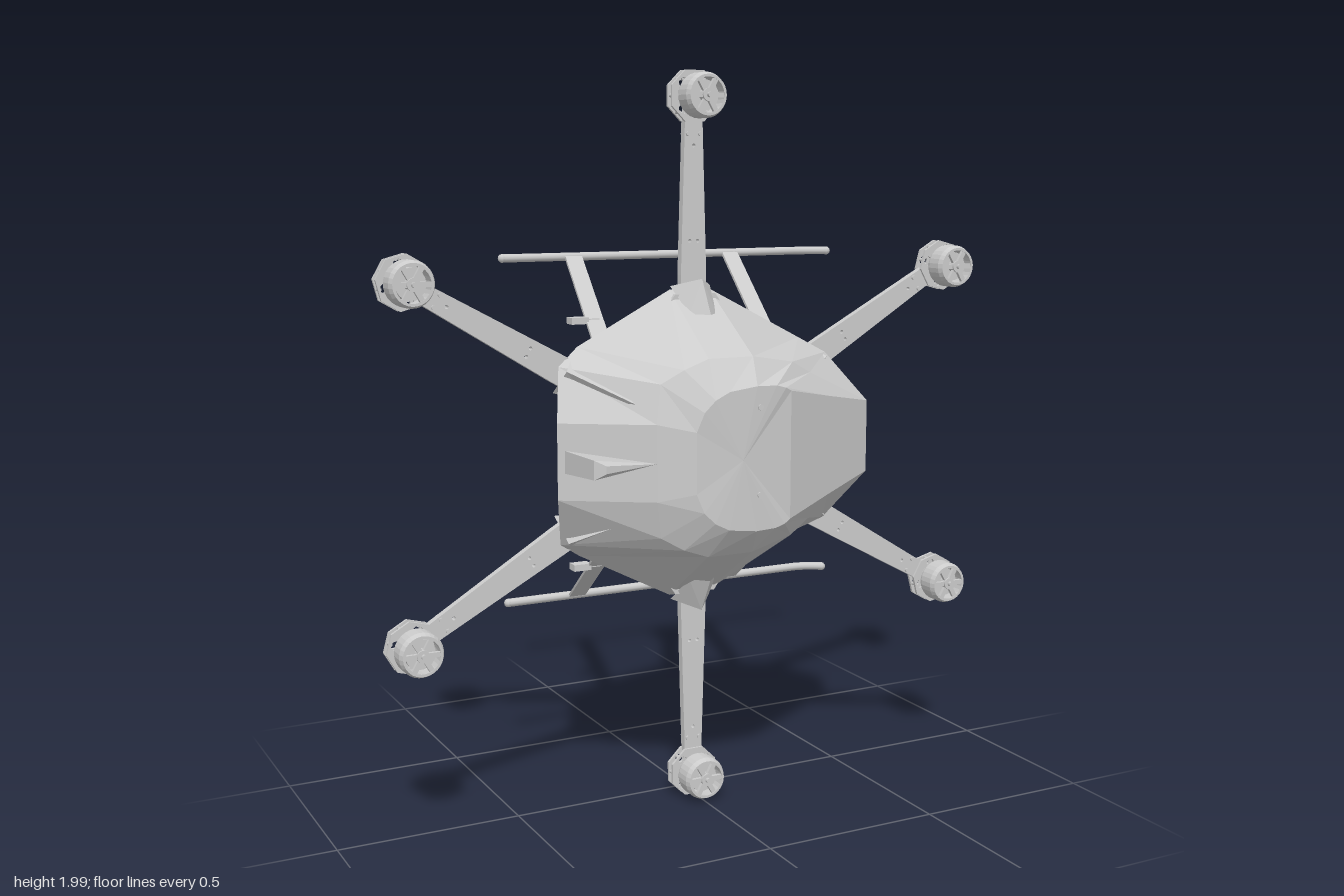
import * as THREE from 'three';

const mat = new THREE.MeshStandardMaterial({ color: 0xcccccc });
const flat = new THREE.MeshStandardMaterial({ color: 0xcccccc, flatShading: true, side: THREE.DoubleSide });
const V = (x, y, z) => new THREE.Vector3(x, y, z);

function add(parent, name, geo, pos = [0, 0, 0], material = mat) {
  const m = new THREE.Mesh(geo, material);
  m.name = name;
  m.position.set(...pos);
  parent.add(m);
  return m;
}
const box = (p, name, w, h, d, pos) => add(p, name, new THREE.BoxGeometry(w, h, d), pos);

// cylinder running along z from z0 to z1
function rod(p, name, r, x, y, z0, z1, sides = 12) {
  const g = new THREE.CylinderGeometry(r, r, Math.abs(z1 - z0), sides).rotateX(Math.PI / 2);
  return add(p, name, g, [x, y, (z0 + z1) / 2]);
}

// flat plate in the xy plane with rectangular and round cut-outs
function plate(p, name, pts, rects, circles, z, depth) {
  const s = new THREE.Shape(pts.map(([x, y]) => new THREE.Vector2(x, y)));
  for (const [x, y, w, h] of rects) {
    s.holes.push(new THREE.Path([[-1, -1], [-1, 1], [1, 1], [1, -1]]
      .map(([a, b]) => new THREE.Vector2(x + a * w / 2, y + b * h / 2))));
  }
  for (const [x, y, r] of circles) s.holes.push(new THREE.Path().absarc(x, y, r, 0, Math.PI * 2, true));
  const g = new THREE.ExtrudeGeometry(s, { depth, bevelEnabled: false, curveSegments: 6 });
  return add(p, name, g, [0, 0, z]);
}

// thin bar between two points, its width lying mostly along x
function bar(p, name, a, b, width, thick) {
  const d = b.clone().sub(a), len = d.length();
  d.normalize();
  const t = V(1, 0, 0).cross(d).normalize(), w = d.clone().cross(t);
  const m = box(p, name, width, len, thick, a.clone().add(b).multiplyScalar(0.5).toArray());
  m.quaternion.setFromRotationMatrix(new THREE.Matrix4().makeBasis(w, d, t));
  return m;
}

function polyhedron(points, index) {
  const g = new THREE.BufferGeometry();
  g.setAttribute('position', new THREE.Float32BufferAttribute(points.flat(), 3));
  g.setIndex(index);
  const out = g.toNonIndexed();
  out.computeVertexNormals();
  return out;
}

// faceted canopy: three mirrored rings, closed by a plateau
function canopyGeometry() {
  const rings = [
    [[.5, .1, .155], [.4, .235, .09], [.34, .275, .045], [.06, .42, .04], [-.06, .42, .04], [-.33, .28, .04], [-.4, .235, .08], [-.435, .1, .15]],
    [[.32, .135, .245], [.27, .2, .225], [.2, .235, .25], [.06, .26, .285], [-.07, .26, .285], [-.14, .235, .285], [-.2, .2, .27], [-.22, .1, .29]],
    [[.15, .17, .33], [.13, .18, .337], [.1, .188, .341], [.04, .19, .345], [-.04, .18, .345], [-.08, .16, .343], [-.11, .13, .34], [-.13, .08, .335]],
  ].map(r => [...r, ...r.slice().reverse().map(([x, y, z]) => [x, -y, z])]);
  const n = rings[0].length, idx = [];
  for (let k = 0; k < 2; k++) for (let i = 0; i < n; i++) {
    const a = k * n + i, b = k * n + (i + 1) % n;
    idx.push(a, b, b + n, a, b + n, a + n);
  }
  for (let i = 0; i < n; i++) idx.push(2 * n + i, 2 * n + (i + 1) % n, 3 * n);
  return polyhedron([...rings.flat(), [0, 0, .345]], idx);
}

// motor with slotted bell on an octagonal mount
function motor(p, r) {
  const g = new THREE.Group();
  g.name = 'motor';
  g.position.y = r;
  p.add(g);
  const ring = (R, n, off = 0) => Array.from({ length: n }, (_, i) => {
    const a = (i + off) / n * Math.PI * 2;
    return [R * Math.cos(a), R * Math.sin(a)];
  });
  const mountHoles = ring(.048, 4, .5).map(([x, y]) => [x, y, .013]);
  plate(g, 'motorMountBack', ring(.072, 8, .5), [], [...mountHoles, [0, 0, .013]], .04, .008);
  plate(g, 'motorMountFront', ring(.072, 8, .5), [], mountHoles, .064, .008);
  for (const [x, y] of ring(.06, 8)) rod(g, 'mountSpacer', .005, x, y, .045, .066, 6);
  rod(g, 'motorBase', .046, 0, 0, .07, .09, 24);
  const profile = [[.05, .088], [.057, .088], [.059, .094], [.059, .136], [.053, .15], [.046, .15], [.05, .088]];
  const bell = new THREE.LatheGeometry(profile.map(([x, y]) => new THREE.Vector2(x, y)), 28).rotateX(Math.PI / 2);
  const creased = bell.toNonIndexed();
  creased.computeVertexNormals();
  add(g, 'motorBell', creased, [0, 0, 0], flat);
  rod(g, 'motorStator', .04, 0, 0, .085, .128, 20);
  for (let i = 0; i < 6; i++) {
    const a = i * Math.PI / 3;
    box(g, 'bellSpoke', .044, .013, .01, [.027 * Math.cos(a), .027 * Math.sin(a), .143]).rotation.z = a;
  }
  rod(g, 'motorHub', .017, 0, 0, .125, .153, 16);
  rod(g, 'motorShaft', .007, 0, 0, .15, .162, 10);
}

export function createModel() {
  const root = new THREE.Group();
  root.name = 'hexacopter';
  const craft = new THREE.Group();
  craft.name = 'airframe';
  craft.position.y = 1;
  root.add(craft);

  // canopy and its tail fin
  add(craft, 'canopy', canopyGeometry(), [0, 0, 0], flat);
  for (const s of [-1, 1]) for (const y of [.09, -.14]) if (s > 0) rod(craft, 'canopyScrew', .008, .05, y + .045, .34, .348, 8);
  add(craft, 'tailFin', polyhedron(
    [[-.22, 0, .29], [-.42, .03, .15], [-.4, .025, .3], [-.37, .01, .31], [-.42, -.03, .15], [-.4, -.025, .3], [-.37, -.01, .31]],
    [0, 2, 1, 0, 3, 2, 0, 4, 5, 0, 5, 6, 1, 2, 5, 1, 5, 4, 2, 3, 6, 2, 6, 5, 0, 6, 3]), [0, 0, 0], flat);

  // six arms, each with a motor and a tent-shaped canopy cover
  for (let i = 0; i < 6; i++) {
    const arm = new THREE.Group();
    arm.name = 'arm';
    arm.rotation.z = i * Math.PI / 3;
    craft.add(arm);
    plate(arm, 'armBeam', [[-.038, .27], [.038, .27], [.038, .46], [.026, .87], [-.026, .87], [-.038, .46]], [],
      [[.012, .55, .005], [-.012, .55, .005], [0, .8, .005]], .045, .021);
    motor(arm, .928);
    rod(arm, 'armStub', .009, 0, .785, .03, .046, 8);
    rod(arm, 'armStub', .011, 0, .5, .022, .046, 8);
    for (const s of [-1, 1]) {
      rod(arm, 'armBolt', .008, s * .025, .42, .022, .078, 8);
      rod(arm, 'armBolt', .008, s * .025, .31, .022, .078, 8);
      rod(arm, 'motorWireClip', .006, s * .018, .83, .036, .072, 8);
    }
    const tip = i === 1 || i === 2 ? [0, .3, .245] : [0, .36, .165];
    add(arm, 'armCover', polyhedron(
      [[-.06, .43, .045], [.06, .43, .045], [0, .452, .115], tip, [-.04, .36, .12], [.04, .36, .12]],
      [0, 2, 4, 4, 2, 3, 1, 5, 2, 5, 3, 2]), [0, 0, 0], flat);
  }

  // slotted frame plates, one sandwich at each end of the body
  const half = [[.2, .13], [.33, .15], [.385, .2], [.365, .245], [.3, .25], [.2, .29], [.11, .34], [.06, .41]];
  const outline = [...half, ...half.slice().reverse().map(([x, y]) => [-x, y])];
  const slots = [[0, .36, .04, .03], [0, .165, .05, .025], [0, .3, .05, .04]], dots = [];
  for (const s of [-1, 1]) {
    slots.push([s * .08, .165, .06, .025], [s * .16, .165, .05, .025], [s * .05, .23, .06, .045],
      [s * .13, .23, .06, .045], [s * .08, .3, .05, .035], [s * .21, .235, .05, .04], [s * .26, .18, .06, .02]);
    dots.push([s * .31, .215, .01], [s * .345, .2, .008], [s * .04, .39, .007]);
  }
  for (const s of [-1, 1]) {
    const g = new THREE.Group();
    g.name = s > 0 ? 'upperFrame' : 'lowerFrame';
    if (s < 0) g.rotation.z = Math.PI;
    craft.add(g);
    plate(g, 'backPlate', outline, slots, dots, .034, .01);
    plate(g, 'frontPlate', outline, slots, dots, .066, .01);
    for (const x of [-.2, -.1, .1, .2]) {
      rod(g, 'plateSpacer', .009, x, .145, .036, .074, 8);
      rod(g, 'plateSpacer', .009, x, .27, .036, .074, 8);
    }
    for (const x of [-.2, .2]) rod(g, 'rearStandoff', .012, x, .22, -.045, .036, 8);
    for (const x of [-.14, .14]) rod(g, 'battePost'.replace('batte', 'tray'), .01, x, .1, -.004, .09, 8);
  }

  // equipment tray across the middle, braced diagonally
  plate(craft, 'equipmentTray', [[-.2, -.23], [.2, -.23], [.2, .23], [-.2, .23]],
    [[0, .18, .34, .05], [0, -.18, .34, .05], [0, 0, .26, .26], [-.167, 0, .035, .26], [.167, 0, .035, .26]], [], -.006, .008);
  for (const s of [-1, 1]) {
    bar(craft, 'trayBrace', V(-.13, s * .13, -.002), V(.13, -s * .13, -.002), .016, .006);
    for (const x of [-.1, 0, .1]) box(craft, 'trayRib', .014, .06, .006, [x, s * .18, -.002]);
    box(craft, 'sideRail', .016, .32, .012, [s * .14, 0, .045]);
  }
  box(craft, 'centrePost', .014, .27, .006, [0, 0, -.002]);

  // small camera below the tray
  const ball = add(craft, 'cameraBall', new THREE.CylinderGeometry(.036, .036, .05, 10), [-.12, -.32, -.005]);
  ball.rotation.z = Math.PI / 2;
  box(craft, 'cameraBracket', .07, .05, .02, [-.12, -.32, .028]);
  rod(craft, 'cameraLens', .016, -.12, -.33, -.046, -.03, 12);

  // landing skids, mirrored above and below
  for (const s of [-1, 1]) {
    const g = new THREE.Group();
    g.name = s > 0 ? 'upperLandingGear' : 'lowerLandingGear';
    craft.add(g);
    const y = s * .493, path = new THREE.CurvePath();
    path.add(new THREE.LineCurve3(V(-.39, y, -.337), V(.56, y, -.337)));
    path.add(new THREE.QuadraticBezierCurve3(V(.56, y, -.337), V(.6, y, -.337), V(.645, y, -.303)));
    add(g, 'skidTube', new THREE.TubeGeometry(path, 40, .012, 10));
    for (const [p, dx] of [[[-.39, y, -.337], 1], [[.645, y, -.303], -1]]) {
      add(g, 'skidCap', new THREE.SphereGeometry(.0125, 10, 6), p);
    }
    for (const x of [-.178, .325]) {
      bar(g, 'skidLeg', V(x, y, -.33), V(x - .078, s * .275, .045), .05, .008);
      box(g, 'legFoot', .07, .04, .014, [x - .078, s * .275, .035]);
    }
    box(g, 'antennaBracket', .05, .018, .035, [-.28, s * .338, -.067]);
    box(g, 'antennaArm', .05, .008, .018, [-.245, s * .338, -.067]);
  }
  return root;
}
